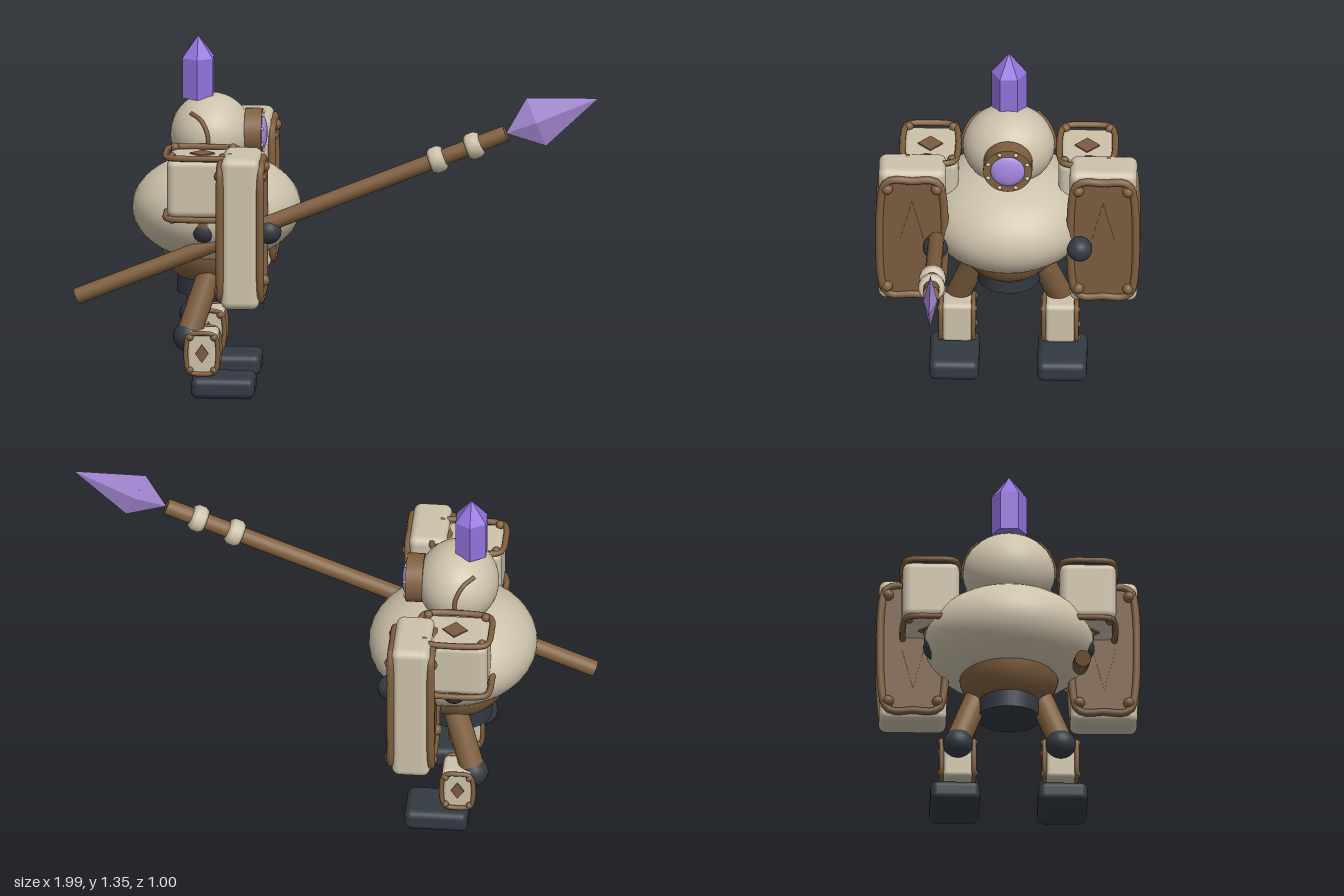
import * as THREE from 'three';
import { RoundedBoxGeometry } from 'three/addons/geometries/RoundedBoxGeometry.js';

const mat = (name, color, flatShading = false) => {
  const m = new THREE.MeshStandardMaterial({ color, flatShading });
  m.name = name;
  return m;
};

const V = (x, y, z) => new THREE.Vector3(x, y, z);

export function createModel() {
  const root = new THREE.Group();
  root.name = 'crystalGuardian';
  const stone = mat('paleStone', 0xcdc2ab);
  const bronze = mat('bronze', 0x80603f);
  const panelBrown = mat('panelBrown', 0x7b5c40);
  const dark = mat('darkJoint', 0x333a42);
  const crystal = mat('violetCrystal', 0x9272dc, true);
  const spearViolet = mat('bladeViolet', 0xa98bd8, true);
  const lens = mat('lensViolet', 0xa68be2);

  const add = (name, geo, material, pos = [0, 0, 0], parent = root) => {
    const m = new THREE.Mesh(geo, material);
    m.name = name;
    m.position.set(...pos);
    parent.add(m);
    return m;
  };
  const ball = (name, r, material, pos, parent = root) =>
    add(name, new THREE.SphereGeometry(r, 20, 14), material, pos, parent);

  // Cylinder running between two points
  const rod = (name, a, b, r, material) => {
    const d = b.clone().sub(a);
    const m = add(name, new THREE.CylinderGeometry(r, r, d.length(), 20), material,
      a.clone().add(b).multiplyScalar(0.5).toArray());
    m.quaternion.setFromUnitVectors(V(0, 1, 0), d.normalize());
    return m;
  };

  // Armour block: bowed rim, corner bolts and diamond on both z faces
  const armour = (name, o) => {
    const g = new THREE.Group();
    g.name = name;
    root.add(g);
    add('armourBlock', new RoundedBoxGeometry(o.w, o.h, o.d, 4, o.round), stone, [0, 0, 0], g);
    const a = o.rimW, b = o.rimH, k = o.bow;
    const outline = [[-a, -b], [0, -b - k], [a, -b], [a + k, 0], [a, b], [0, b + k], [-a, b], [-a - k, 0]];
    const curve = new THREE.CatmullRomCurve3(outline.map(p => V(p[0], p[1], 0)), true, 'catmullrom', 0.45);
    const rim = new THREE.TubeGeometry(curve, 64, o.tube, 8, true);
    const panel = new THREE.ExtrudeGeometry(
      new THREE.Shape(curve.getPoints(40).slice(0, -1).map(p => new THREE.Vector2(p.x, p.y))),
      { depth: 0.006, bevelEnabled: false });
    const diamond = new THREE.ExtrudeGeometry(
      new THREE.Shape([[0, -o.diaH], [o.diaW, 0], [0, o.diaH], [-o.diaW, 0]].map(p => new THREE.Vector2(...p))),
      { depth: 0.008, bevelEnabled: false });
    for (const turn of [0, Math.PI]) {
      const face = new THREE.Group();
      face.name = 'armourFace';
      face.rotation.y = turn;
      g.add(face);
      const z = o.d / 2;
      add('rim', rim, bronze, [0, 0, z + 0.004], face);
      if (o.panel) add('facePanel', panel, panelBrown, [0, 0, z], face);
      add('diamond', diamond, panelBrown, [0, 0, z + (o.panel ? 0.001 : -0.002)], face);
      for (const sx of [-1, 1]) for (const sy of [-1, 1])
        ball('bolt', o.bolt, bronze, [sx * a * 0.9, sy * b * 0.93, z + 0.006], face);
    }
    return g;
  };

  // Torso and hips
  const body = add('body', new THREE.SphereGeometry(1, 40, 24), stone, [-0.47, 0.688, 0]);
  body.scale.set(0.32, 0.205, 0.32);
  const hip = [[0.12, 0.42], [0.145, 0.44], [0.17, 0.47], [0.185, 0.51], [0.19, 0.55]];
  add('pelvis', new THREE.LatheGeometry(hip.map(p => new THREE.Vector2(...p)), 40), bronze, [-0.49, 0, 0]);
  add('waistRing', new THREE.CylinderGeometry(0.12, 0.12, 0.07, 32), dark, [-0.5, 0.395, 0]);

  // Head with crest crystal
  const HX = -0.49, HY = 0.97, RX = 0.155, RY = 0.155, RZ = 0.175;
  const head = add('head', new THREE.SphereGeometry(1, 36, 24), stone, [HX, HY, 0]);
  head.scale.set(RX, RY, RZ);
  add('crestShaft', new THREE.CylinderGeometry(0.067, 0.067, 0.155, 6), crystal, [-0.54, 1.188, 0]);
  add('crestTip', new THREE.ConeGeometry(0.067, 0.085, 6), crystal, [-0.54, 1.308, 0]);

  // Eye: bronze ring, lens and rivets
  const ring = add('eyeRing', new THREE.CylinderGeometry(0.093, 0.093, 0.065, 32), bronze, [-0.328, 0.975, 0]);
  ring.rotation.z = Math.PI / 2;
  const eye = ball('eyeLens', 0.066, lens, [-0.298, 0.975, 0]);
  eye.scale.x = 0.32;
  for (let i = 0; i < 8; i++) {
    const t = (i + 0.5) * Math.PI / 4;
    ball('eyeRivet', 0.008, stone, [-0.295, 0.975 + 0.08 * Math.sin(t), 0.08 * Math.cos(t)]);
  }

  // Staff with collars and blade
  const s0 = V(-0.985, 0.39, 0.27), s1 = V(0.645, 1.045, 0.27);
  rod('staff', s0, s1, 0.031, bronze);
  const along = s1.clone().sub(s0).normalize();
  const collar = [[0.025, -0.03], [0.042, -0.028], [0.051, -0.014], [0.051, 0.014], [0.042, 0.028], [0.025, 0.03]];
  for (const t of [0.84, 0.925]) {
    const c = add('staffCollar', new THREE.LatheGeometry(collar.map(p => new THREE.Vector2(...p)), 24), stone,
      s0.clone().lerp(s1, t).toArray());
    c.quaternion.setFromUnitVectors(V(0, 1, 0), along);
  }
  const blade = new THREE.Group();
  blade.name = 'spearBlade';
  blade.position.copy(s1);
  blade.quaternion.setFromUnitVectors(V(0, 1, 0), along);
  root.add(blade);
  const bladeTip = add('bladeTip', new THREE.ConeGeometry(0.1, 0.255, 4), spearViolet, [0, 0.251, 0], blade);
  const bladeBase = add('bladeBase', new THREE.ConeGeometry(0.1, 0.124, 4), spearViolet, [0, 0.062, 0], blade);
  bladeBase.rotation.x = Math.PI;
  bladeTip.scale.z = bladeBase.scale.z = 0.27;

  // Mirrored limbs and armour
  for (const s of [1, -1]) {
    const onHead = [[-0.56, 1.07], [-0.52, 1.05], [-0.495, 1.005], [-0.49, 0.95]].map(([x, y]) =>
      V(x, y, s * RZ * Math.sqrt(1 - ((x - HX) / RX) ** 2 - ((y - HY) / RY) ** 2)));
    add('headBand', new THREE.TubeGeometry(new THREE.CatmullRomCurve3(onHead), 20, 0.008, 8), bronze);

    const shoulder = armour('shoulderGuard', {
      w: 0.26, h: 0.215, d: 0.23, round: 0.03, rimW: 0.122, rimH: 0.09, bow: 0.016,
      tube: 0.012, bolt: 0.017, diaW: 0.047, diaH: 0.047 });
    shoulder.position.set(-0.505, 0.84, s * 0.297);
    shoulder.rotation.x = -Math.PI / 2;

    rod('upperArm', V(-0.5, 0.76, s * 0.28), V(-0.5, 0.655, s * 0.275), 0.045, bronze);
    ball('elbow', 0.05, dark, [-0.5, 0.655, s * 0.275]);
    rod('forearm', V(-0.5, 0.655, s * 0.275), V(-0.26, 0.655, s * 0.273), 0.036, bronze);
    ball('hand', 0.048, dark, [-0.255, 0.653, s * 0.273]);

    const shield = armour('armShield', {
      w: 0.255, h: 0.585, d: 0.145, round: 0.03, rimW: 0.105, rimH: 0.238, bow: 0.019,
      tube: 0.015, bolt: 0.022, diaW: 0.043, diaH: 0.167, panel: true });
    shield.position.set(-0.352, 0.683, s * 0.362);
    shield.rotation.y = Math.PI / 2;

    rod('thigh', V(-0.49, 0.45, s * 0.12), V(-0.562, 0.235, s * 0.195), 0.047, bronze);
    ball('knee', 0.058, dark, [-0.565, 0.222, s * 0.195]);
    armour('shinGuard', {
      w: 0.12, h: 0.168, d: 0.115, round: 0.018, rimW: 0.05, rimH: 0.068, bow: 0.011,
      tube: 0.009, bolt: 0.013, diaW: 0.025, diaH: 0.036 }).position.set(-0.51, 0.17, s * 0.195);
    add('foot', new RoundedBoxGeometry(0.24, 0.082, 0.188, 4, 0.027), dark, [-0.43, 0.041, s * 0.204]);
  }
  return root;
}
